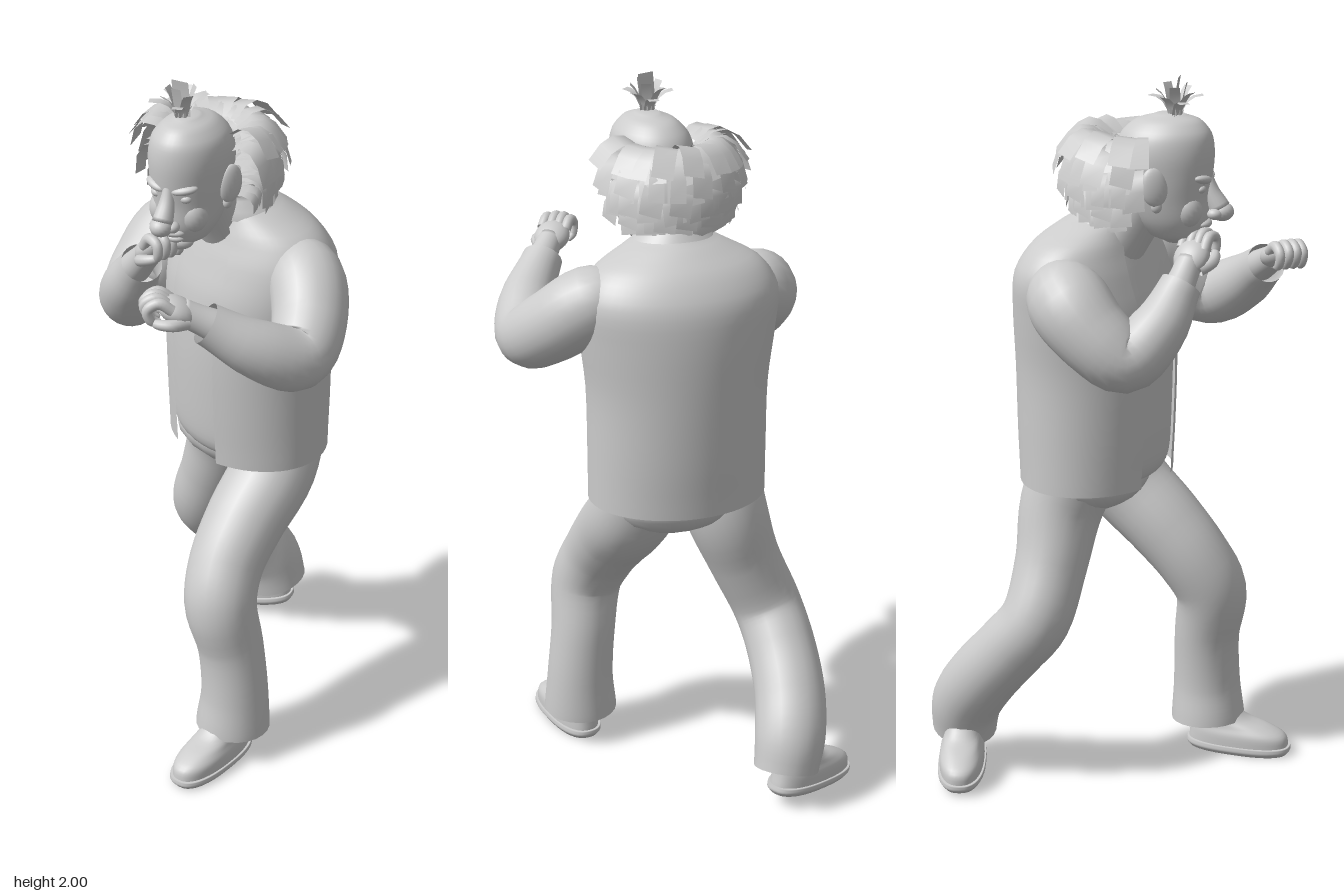
import * as THREE from 'three';

const V = (x, y, z) => new THREE.Vector3(x, y, z);
const mat = new THREE.MeshStandardMaterial({ color: 0xcccccc, side: THREE.DoubleSide });

function mesh(name, geo, parent, x = 0, y = 0, z = 0) {
  const m = new THREE.Mesh(geo, mat);
  m.name = name;
  m.position.set(x, y, z);
  parent.add(m);
  return m;
}

// Skin over a list of equal-length rings; caps are fans to the ring centre
function skin(rings, { closed = true, capStart = false, capEnd = false } = {}) {
  const n = rings[0].length, pos = [], idx = [];
  rings.forEach(r => r.forEach(p => pos.push(p.x, p.y, p.z)));
  const cols = closed ? n : n - 1;
  for (let j = 0; j < rings.length - 1; j++) for (let i = 0; i < cols; i++) {
    const a = j * n + i, b = j * n + (i + 1) % n;
    idx.push(a, b, b + n, a, b + n, a + n);
  }
  const cap = (j, flip) => {
    const c = rings[j].reduce((s, p) => s.add(p), V(0, 0, 0)).divideScalar(n);
    const k = pos.length / 3;
    pos.push(c.x, c.y, c.z);
    for (let i = 0; i < n; i++) {
      const a = j * n + i, b = j * n + (i + 1) % n;
      idx.push(...(flip ? [b, a, k] : [a, b, k]));
    }
  };
  if (capStart) cap(0, true);
  if (capEnd) cap(rings.length - 1, false);
  const g = new THREE.BufferGeometry();
  g.setAttribute('position', new THREE.Float32BufferAttribute(pos, 3));
  g.setIndex(idx);
  g.computeVertexNormals();
  return g;
}

// Horizontal ovals [y, cx, cz, rx, rz], smoothed between rows; gap leaves the front open, pow < 1 is squarer
function loft(rows, { gap = 0, seg = 40, steps = 4, pow = 1, ...opt } = {}) {
  const c = new THREE.CatmullRomCurve3(rows.map(r => V(r[1], r[0], r[2])));
  const s = new THREE.SplineCurve(rows.map(r => new THREE.Vector2(r[3], r[4])));
  const sq = v => Math.sign(v) * Math.abs(v) ** pow;
  const N = (rows.length - 1) * steps, rings = [];
  for (let j = 0; j <= N; j++) {
    const p = c.getPoint(j / N), r = s.getPoint(j / N), ring = [];
    const count = gap ? seg + 1 : seg;
    for (let i = 0; i < count; i++) {
      const a = gap + (2 * Math.PI - 2 * gap) * i / seg;
      ring.push(V(p.x + sq(Math.sin(a)) * r.x, p.y, p.z + sq(Math.cos(a)) * r.y));
    }
    rings.push(ring);
  }
  return skin(rings, { closed: !gap, ...opt });
}

// Round limb through points [x, y, z, radius]
function limb(pts, opt = {}, seg = 24) {
  const c = new THREE.CatmullRomCurve3(pts.map(p => V(p[0], p[1], p[2])));
  const s = new THREE.SplineCurve(pts.map(p => new THREE.Vector2(p[3], 0)));
  const N = (pts.length - 1) * 5, rings = [];
  let n = V(0.3, 0.2, 1);
  for (let j = 0; j <= N; j++) {
    const p = c.getPoint(j / N), t = c.getTangent(j / N), r = s.getPoint(j / N).x;
    n = n.clone().addScaledVector(t, -n.dot(t)).normalize();
    const b = t.clone().cross(n);
    rings.push(Array.from({ length: seg }, (_, i) => {
      const a = 2 * Math.PI * i / seg;
      return p.clone().addScaledVector(n, Math.cos(a) * r).addScaledVector(b, Math.sin(a) * r);
    }));
  }
  return skin(rings, opt);
}

const blob = (rx, ry, rz) => new THREE.SphereGeometry(1, 20, 14).scale(rx, ry, rz);

// Flat lock of hair: strip of width w along a bent path, wide in direction side
function lock(p0, p1, p2, side, w) {
  const c = new THREE.QuadraticBezierCurve3(p0, p1, p2), rings = [];
  for (let j = 0; j <= 4; j++) {
    const p = c.getPoint(j / 4);
    rings.push([-0.5, 0.5].map(k => p.clone().addScaledVector(side, k * w)));
  }
  return skin(rings, { closed: false });
}

// Hand with curled fingers, pointing along its local +z
function hand(name, from, to, thumbSide, parent) {
  const g = new THREE.Group();
  g.name = name;
  g.position.copy(from);
  g.lookAt(to);
  mesh('wrist', limb([[0, 0, -0.06, 0.044], [0, 0, 0, 0.038], [0, 0, 0.05, 0.036]], { capEnd: true }), g);
  mesh('palm', blob(0.05, 0.034, 0.055), g, 0, 0, 0.06);
  for (let i = 0; i < 4; i++) {
    const x = (i - 1.5) * 0.023, l = i === 0 || i === 3 ? 0 : 0.008;
    mesh('finger', limb([[x, 0.008, 0.08, 0.015], [x, 0.012, 0.12 + l, 0.015],
      [x, -0.018, 0.138 + l, 0.014], [x, -0.042, 0.115, 0.012], [x, -0.04, 0.09, 0.005]], { capEnd: true }, 10), g);
  }
  const s = thumbSide;
  mesh('thumb', limb([[s * 0.03, -0.01, 0.03, 0.018], [s * 0.052, -0.022, 0.065, 0.016],
    [s * 0.04, -0.04, 0.1, 0.013], [s * 0.025, -0.045, 0.115, 0.005]], { capEnd: true }, 10), g);
  parent.add(g);
}

// Shoe with heel at the origin and toe along +z
function shoe(name, parent, x, y, z, yaw, tilt) {
  const g = new THREE.Group();
  g.name = name;
  g.rotation.order = 'YXZ';
  g.position.set(x, y, z);
  g.rotation.set(tilt, yaw, 0);
  mesh('sole', loft([[0, 0, 0.15, 0.06, 0.145], [0.012, 0, 0.15, 0.068, 0.154], [0.026, 0, 0.15, 0.067, 0.153]],
    { capStart: true, capEnd: true, pow: 0.8 }), g);
  mesh('upper', loft([[0.02, 0, 0.15, 0.063, 0.148], [0.055, 0, 0.147, 0.062, 0.142], [0.078, 0, 0.125, 0.054, 0.118],
    [0.1, 0, 0.09, 0.05, 0.083], [0.15, 0, 0.065, 0.048, 0.056]], { capEnd: true, pow: 0.85 }), g);
  parent.add(g);
}

export function createModel() {
  const model = new THREE.Group();
  model.name = 'boxingMan';

  // Torso, turned a little towards its right
  const torso = new THREE.Group();
  torso.name = 'torso';
  torso.position.set(0, 0, -0.06);
  torso.rotation.y = -0.35;
  model.add(torso);
  const body = [[0.87, 0, 0, 0.25, 0.2], [1.02, 0, 0, 0.25, 0.208], [1.2, 0, 0, 0.253, 0.212], [1.36, 0, -0.005, 0.272, 0.205],
    [1.47, 0, -0.015, 0.276, 0.18], [1.545, 0, -0.005, 0.228, 0.142], [1.595, 0, 0.02, 0.135, 0.105], [1.62, 0, 0.04, 0.085, 0.085]];
  mesh('jacket', loft(body, { gap: 0.34, seg: 48 }), torso);
  const shirt = body.map(([y, x, z, rx, rz]) => [y, x, z, rx - 0.012, rz - 0.012]);
  shirt[0][0] = 0.925;
  shirt.unshift([0.872, 0, 0, 0.15, 0.13], [0.885, 0, 0, 0.215, 0.17]);
  mesh('shirt', loft(shirt, { capStart: true, capEnd: true }), torso);
  mesh('collar', loft([[1.585, 0, 0.03, 0.125, 0.105], [1.63, 0, 0.045, 0.088, 0.086], [1.645, 0, 0.048, 0.078, 0.078]],
    { gap: 0.45 }), torso);

  // Trousers
  mesh('hips', blob(0.225, 0.105, 0.165), model, 0, 0.88, -0.075);
  mesh('leftLeg', limb([[0.105, 0.94, -0.07, 0.125], [0.115, 0.81, 0.0, 0.12], [0.092, 0.7, 0.112, 0.113], [0.08, 0.6, 0.2, 0.106],
    [0.09, 0.5, 0.253, 0.102], [0.115, 0.35, 0.24, 0.093], [0.128, 0.2, 0.24, 0.096], [0.125, 0.09, 0.245, 0.106]]), model);
  mesh('rightLeg', limb([[-0.1, 0.94, -0.09, 0.125], [-0.115, 0.8, -0.14, 0.117], [-0.165, 0.65, -0.16, 0.102],
    [-0.222, 0.5, -0.195, 0.098], [-0.215, 0.41, -0.265, 0.098], [-0.18, 0.3, -0.355, 0.1], [-0.135, 0.2, -0.415, 0.1],
    [-0.11, 0.11, -0.43, 0.092]]), model);
  shoe('leftShoe', model, 0.13, 0, 0.19, -0.15, 0);
  shoe('rightShoe', model, -0.06, 0.045, -0.44, Math.atan2(-0.3, 0.05), 0.12);

  // Arms and raised fists
  mesh('leftSleeve', limb([[0.13, 1.47, -0.02, 0.07], [0.22, 1.45, 0.025, 0.102], [0.285, 1.37, 0.12, 0.1],
    [0.3, 1.32, 0.215, 0.09], [0.24, 1.37, 0.31, 0.078], [0.13, 1.455, 0.39, 0.056]], { capStart: true }), model);
  mesh('rightSleeve', limb([[-0.14, 1.45, -0.13, 0.07], [-0.245, 1.425, -0.095, 0.11], [-0.292, 1.34, -0.01, 0.102],
    [-0.295, 1.285, 0.07, 0.09], [-0.25, 1.36, 0.15, 0.077], [-0.18, 1.465, 0.2, 0.056]], { capStart: true }), model);
  hand('leftHand', V(0.115, 1.468, 0.4), V(-0.02, 1.55, 0.49), 1, model);
  hand('rightHand', V(-0.17, 1.485, 0.205), V(-0.07, 1.6, 0.245), -1, model);

  // Head, local x = 0 on the face's middle line
  const head = new THREE.Group();
  head.name = 'head';
  head.position.x = -0.06;
  model.add(head);
  mesh('neck', limb([[0.03, 1.52, -0.02, 0.09], [0.015, 1.6, 0.04, 0.078], [0, 1.7, 0.1, 0.078]]), head);
  mesh('skull', loft([[1.555, 0, 0.175, 0.03, 0.035], [1.575, 0, 0.165, 0.06, 0.07], [1.62, 0, 0.152, 0.084, 0.102],
    [1.68, 0, 0.138, 0.097, 0.118], [1.74, 0, 0.135, 0.104, 0.13], [1.8, 0, 0.135, 0.106, 0.134], [1.85, 0, 0.14, 0.094, 0.12],
    [1.885, 0, 0.145, 0.062, 0.085], [1.902, 0, 0.15, 0.025, 0.035]], { capStart: true, capEnd: true }), head);
  mesh('noseBridge', limb([[0, 1.74, 0.25, 0.014], [0, 1.695, 0.262, 0.021], [0, 1.65, 0.285, 0.028]], { capEnd: true }, 16), head);
  mesh('noseTip', blob(0.03, 0.026, 0.032), head, 0, 1.64, 0.291);
  mesh('upperLip', blob(0.038, 0.014, 0.024), head, 0, 1.607, 0.24);
  mesh('lowerLip', blob(0.032, 0.013, 0.022), head, 0, 1.587, 0.231);
  mesh('chin', blob(0.042, 0.025, 0.035), head, 0, 1.568, 0.205);
  for (const s of [-1, 1]) {
    mesh('nostril', blob(0.017, 0.015, 0.02), head, s * 0.025, 1.637, 0.274);
    mesh('cheek', blob(0.042, 0.05, 0.042), head, s * 0.042, 1.65, 0.202);
    mesh('eye', blob(0.018, 0.012, 0.014), head, s * 0.042, 1.708, 0.239);
    mesh('brow', blob(0.036, 0.013, 0.02), head, s * 0.042, 1.734, 0.243).rotation.set(0, s * 0.4, s * 0.2);
    const ear = mesh('ear', blob(0.016, 0.052, 0.036), head, s * 0.11, 1.722, 0.125);
    ear.rotation.set(-0.15, -s * 0.4, 0);
    mesh('earLobe', blob(0.012, 0.018, 0.015), head, s * 0.104, 1.67, 0.13);
  }

  // Bushy locks around the sides and back; each tier is [reach, y, r] with root, bend and tip
  const hair = new THREE.Group();
  hair.name = 'sideHair';
  head.add(hair);
  const tiers = [
    [1.75, 1.83, 0.08, 1.9, 0.15, 1.79, 0.21], [1.72, 1.8, 0.09, 1.87, 0.19, 1.73, 0.212], [1.65, 1.76, 0.09, 1.8, 0.21, 1.68, 0.2],
    [1.55, 1.71, 0.09, 1.74, 0.19, 1.635, 0.18], [1.45, 1.66, 0.08, 1.67, 0.15, 1.615, 0.14]];
  tiers.forEach(([reach, y0, r0, y1, r1, y2, r2], k) => {
    for (let i = 0; i < 18; i++) {
      const a = -reach + 2 * reach * (i + (k % 2) * 0.5) / 17.5;
      const wob = Math.sin(i * 2.7 + k * 1.9), grow = 1 + 0.06 * wob;
      const at = (r, y, twist = 0) => V(Math.sin(a + twist) * r, y, 0.06 - Math.cos(a + twist) * r);
      const side = V(Math.cos(a), 0.25 * wob, Math.sin(a));
      mesh('lock', lock(at(r0, y0), at(r1 * grow, y1 + 0.01 * wob), at(r2 * grow, y2 + 0.015 * wob, 0.08 * wob), side, 0.058), hair);
    }
  });

  // Upright tuft on the crown
  const tuft = new THREE.Group();
  tuft.name = 'topTuft';
  tuft.position.set(-0.01, 0, 0.165);
  head.add(tuft);
  for (let i = 0; i < 11; i++) {
    const a = i * 2.4, out = 0.03 + 0.055 * (i / 10), h = 1.985 - 0.045 * (i / 10);
    const d = V(Math.sin(a), 0, Math.cos(a));
    mesh('tuftLock', lock(V(d.x * 0.01, 1.885, d.z * 0.01), V(d.x * 0.02, 1.95, d.z * 0.02), V(d.x * out, h, d.z * out),
      V(d.z, 0, -d.x), 0.028), tuft);
  }
  mesh('tuftLock', lock(V(0, 1.89, 0), V(0, 1.95, 0), V(0, 2, 0.01), V(1, 0, 0), 0.05), tuft);
  return model;
}
